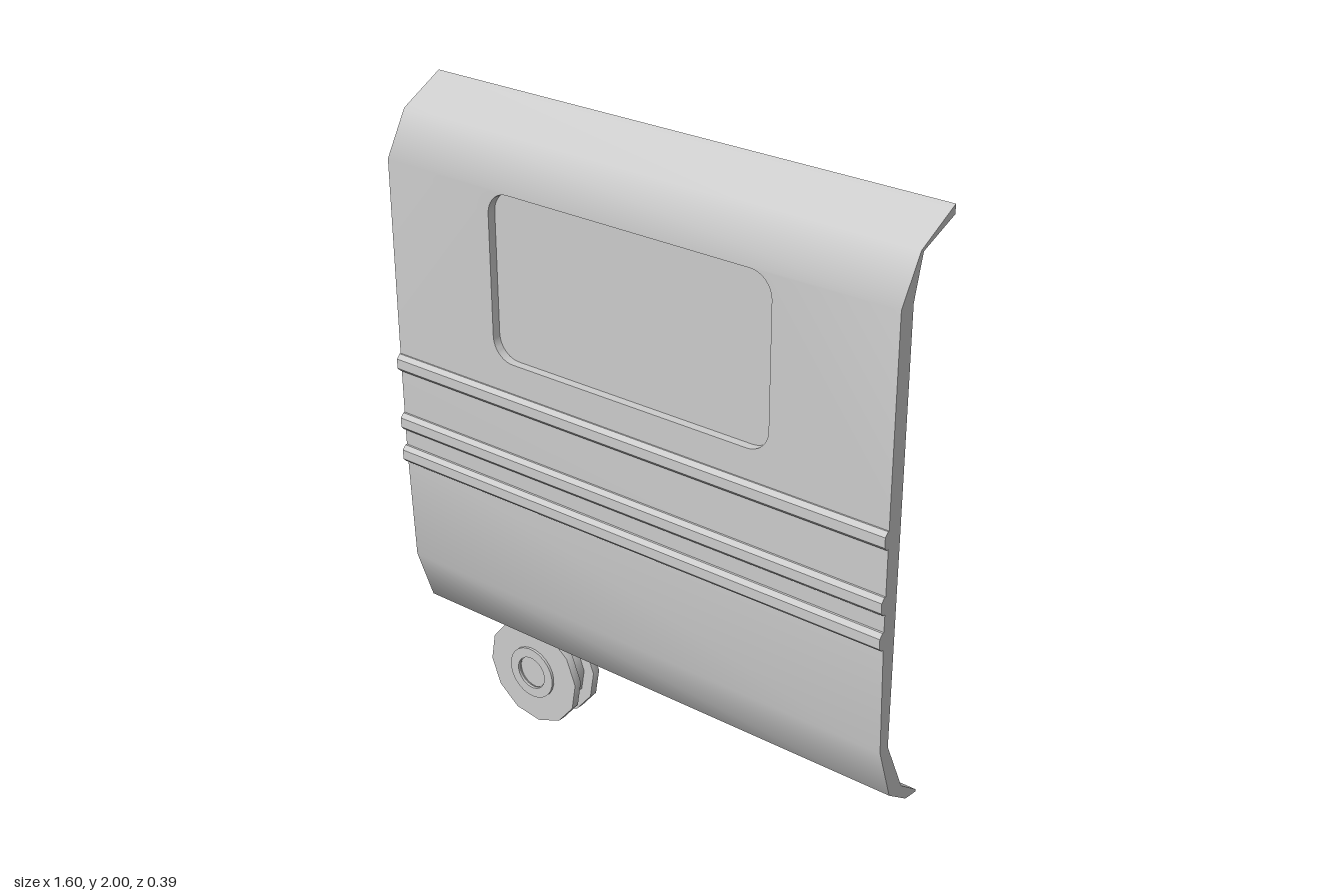
import * as THREE from 'three';
import { mergeGeometries, toCreasedNormals } from 'three/addons/utils/BufferGeometryUtils.js';

const HALF = 0.8, FRONT = 0.18, BACK = 0.13, CREASE = 0.7;
const WIN_TOP = 1.81, WIN_BASE = 1.3; // flat zone that holds the window

const material = new THREE.MeshStandardMaterial({ color: 0xcccccc });

function addMesh(parent, name, geometry, mat = material) {
  const mesh = new THREE.Mesh(geometry, mat);
  mesh.name = name;
  parent.add(mesh);
  return mesh;
}

// Quads joining two matching lines of points
function band(a, b) {
  const pos = [];
  for (let i = 0; i + 1 < a.length; i++) {
    for (const p of [a[i], a[i + 1], b[i + 1], a[i], b[i + 1], b[i]]) pos.push(...p);
  }
  const g = new THREE.BufferGeometry();
  g.setAttribute('position', new THREE.Float32BufferAttribute(pos, 3));
  return g;
}

// Flat face holding positions only, ready for merging
function face(shape, turn, x, z) {
  const g = new THREE.ShapeGeometry(shape, 6).toNonIndexed();
  g.deleteAttribute('uv');
  g.deleteAttribute('normal');
  return g.rotateY(turn).translate(x, 0, z);
}

// Sweep of a [z, y] line across the full width
const across = (line) => band(line.map(([z, y]) => [-HALF, y, z]), line.map(([z, y]) => [HALF, y, z]));

// Both ends of a swept [z, y] outline
function caps(outline) {
  const shape = (s) => new THREE.Shape(outline.map(([z, y]) => new THREE.Vector2(s * z, y)));
  return [face(shape(1), -Math.PI / 2, -HALF, 0), face(shape(-1), Math.PI / 2, HALF, 0)];
}

function roundedWindow(Type) {
  const w = 0.447, b = 1.335, t = 1.804, r = 0.065;
  const s = new Type();
  s.moveTo(-w + r, b);
  s.lineTo(w - r, b);
  s.absarc(w - r, b + r, r, -Math.PI / 2, 0);
  s.absarc(w - r, t - r, r, 0, Math.PI / 2);
  s.absarc(-w + r, t - r, r, Math.PI / 2, Math.PI);
  s.absarc(-w + r, b + r, r, Math.PI, Math.PI * 1.5);
  return s;
}

function wallGeometry() {
  // Lower skin runs down the front and up the back; upper skin closes the roof lip
  const lower = [[FRONT, WIN_BASE], [0.178, 0.95], [0.165, 0.61], [0.11, 0.45], [0.03, 0.395], [-0.018, 0.39],
    [-0.018, 0.397], [0.055, 0.45], [BACK, 0.61], [BACK, WIN_BASE]];
  const upper = [[BACK, WIN_TOP], [0.1, 1.925], [-0.025, 1.975], [-0.025, 2], [0.11, 1.93], [FRONT, WIN_TOP]];

  const panel = new THREE.Shape([[-HALF, WIN_BASE], [HALF, WIN_BASE], [HALF, WIN_TOP], [-HALF, WIN_TOP]]
    .map(([x, y]) => new THREE.Vector2(x, y)));
  panel.holes.push(roundedWindow(THREE.Path));

  const rim = roundedWindow(THREE.Path).getPoints(6);
  rim.push(rim[0]);
  const reveal = band(rim.map((p) => [p.x, p.y, FRONT]), rim.map((p) => [p.x, p.y, BACK]));

  return toCreasedNormals(mergeGeometries([
    across(lower), across(upper), ...caps([...lower, ...upper]),
    face(panel, 0, 0, FRONT), face(panel, Math.PI, 0, BACK), reveal,
  ]), CREASE);
}

// Raised trim rail with chamfered edges
function railGeometry(y) {
  const line = [[0.17, y + 0.025], [0.184, y + 0.025], [0.195, y + 0.013],
    [0.195, y - 0.015], [0.186, y - 0.025], [0.17, y - 0.025]];
  return toCreasedNormals(mergeGeometries([across(line), ...caps(line)]), 0.4);
}

// Turned part with its axis along z
function turned(profile, sides) {
  const g = new THREE.LatheGeometry(profile.map(([r, h]) => new THREE.Vector2(r, h)), sides, 0.1);
  return toCreasedNormals(g.rotateX(Math.PI / 2), CREASE);
}

export function createModel() {
  const model = new THREE.Group();
  model.name = 'slidingDoor';

  addMesh(model, 'doorPanel', wallGeometry());
  const glass = material.clone();
  glass.side = THREE.DoubleSide;
  addMesh(model, 'windowPane', new THREE.ShapeGeometry(roundedWindow(THREE.Shape), 6), glass)
    .position.z = (FRONT + BACK) / 2;
  for (const y of [1.225, 1.045, 0.945]) addMesh(model, 'trimRail', railGeometry(y));

  // Grooved guide roller behind the lower edge
  const roller = new THREE.Group();
  roller.name = 'guideRoller';
  roller.position.set(-0.585, 0.168, -0.131);
  addMesh(roller, 'grooveWheel', turned([[0.05, -0.055], [0.168, -0.055], [0.168, -0.029], [0.131, -0.029],
    [0.131, 0.029], [0.168, 0.029], [0.168, 0.055], [0.05, 0.055]], 12));
  addMesh(roller, 'hub', turned([[0, -0.05], [0.052, -0.05], [0.052, -0.063], [0.083, -0.063],
    [0.083, 0.063], [0.052, 0.063], [0.052, 0.05], [0, 0.05]], 24));
  model.add(roller);

  return model;
}
